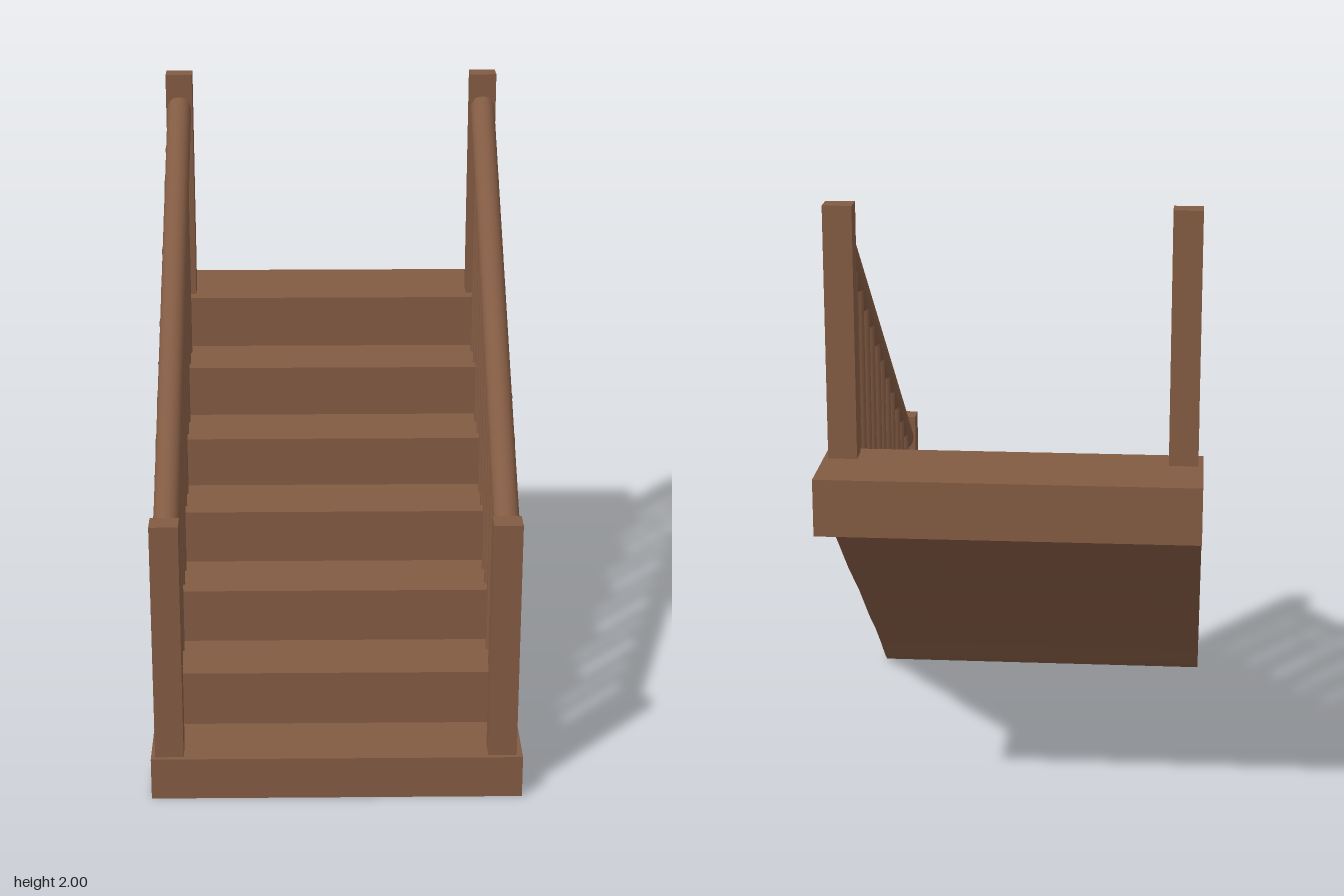
import * as THREE from 'three';

const wood = new THREE.MeshStandardMaterial({ color: 0x835b43 });
wood.name = 'brown wood';

const add = (group, name, geometry, x = 0, y = 0, z = 0) => {
  const mesh = new THREE.Mesh(geometry, wood);
  mesh.name = name;
  mesh.position.set(x, y, z);
  group.add(mesh);
  return mesh;
};

// Treads: front edge z and top height of each step, front to back
const stepZ = [0.87, 0.638, 0.402, 0.166, -0.07, -0.304, -0.538];
const stepY = [0.14, 0.322, 0.502, 0.682, 0.852, 1.026, 1.206];
const treadAt = (z) => stepY[stepZ.filter((s) => s > z).length - 1];

// Side profile of the flight, extruded across its width
function stairGeometry(width) {
  const points = [[0.87, 0]];
  stepZ.forEach((z, i) => {
    if (i > 0) points.push([z, stepY[i - 1]]);
    points.push([z, stepY[i]]);
  });
  // landing back, then the sloping underside
  points.push([-0.87, 1.206], [-0.87, 1.026], [-0.64, 1.026], [-0.54, 0.952],
    [-0.2, 0.683], [0.02, 0.526], [0.27, 0.328], [0.4, 0.235], [0.53, 0.13], [0.64, 0.036], [0.69, 0]);
  const shape = new THREE.Shape(points.map(([z, y]) => new THREE.Vector2(z, y)));
  const geometry = new THREE.ExtrudeGeometry(shape, { depth: width, bevelEnabled: false });
  return geometry.rotateY(-Math.PI / 2).translate(width / 2, 0, 0);
}

// One railing: two square posts, a sloping round rail and oval balusters
function createRailing(name, side) {
  const railing = new THREE.Group();
  railing.name = name;
  const x = side * 0.526;

  const post = new THREE.BoxGeometry(0.09, 0.792, 0.075);
  add(railing, 'frontPost', post, x - 0.003, 0.534, 0.818);
  add(railing, 'backPost', post, x, 1.604, -0.618);

  const slope = (1.875 - 0.85) / (0.785 + 0.58);
  const railY = (z) => 0.85 + (0.785 - z) * slope;
  const start = new THREE.Vector3(x, railY(0.8), 0.8);
  const end = new THREE.Vector3(x, railY(-0.6), -0.6);
  const rail = add(railing, 'handrail', new THREE.CylinderGeometry(0.041, 0.041, start.distanceTo(end), 24));
  rail.position.copy(start).add(end).multiplyScalar(0.5);
  rail.quaternion.setFromUnitVectors(new THREE.Vector3(0, 1, 0), end.clone().sub(start).normalize());

  for (const z of [0.695, 0.577, 0.47, 0.344, 0.235, 0.108, 0, -0.125, -0.235, -0.355, -0.468]) {
    const bottom = treadAt(z);
    const height = railY(z) - 0.02 - bottom;
    const oval = new THREE.CylinderGeometry(1, 1, height, 16).scale(0.038, 1, 0.0165);
    add(railing, 'baluster', oval, side * 0.532, bottom + height / 2, z);
  }
  return railing;
}

export function createModel() {
  const model = new THREE.Group();
  model.name = 'staircase';
  add(model, 'steps', stairGeometry(1.174));
  model.add(createRailing('leftRailing', 1), createRailing('rightRailing', -1));
  return model;
}
